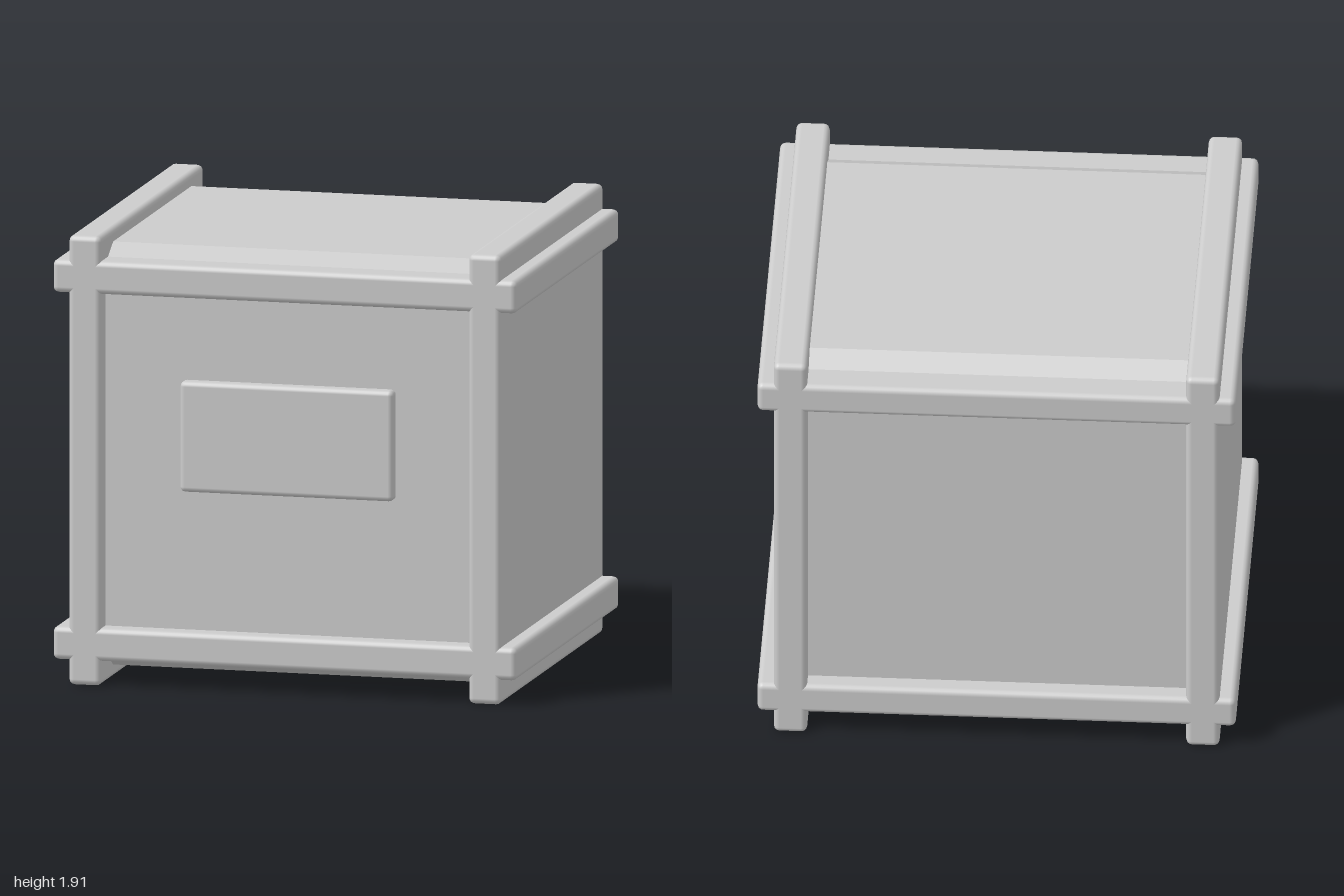
import * as THREE from 'three';
import { RoundedBoxGeometry } from 'three/addons/geometries/RoundedBoxGeometry.js';

const HEIGHT = 1.908, DEPTH = 1.72, BEAM = 0.14, BEVEL = 0.025;

export function createModel() {
  const group = new THREE.Group();
  const grey = new THREE.MeshStandardMaterial({ color: 0xcccccc });
  grey.name = 'light grey';

  const add = (name, geometry, x, y, z) => {
    const mesh = new THREE.Mesh(geometry, grey);
    mesh.name = name;
    mesh.position.set(x, y, z);
    group.add(mesh);
    return mesh;
  };
  const block = (name, w, h, d, x, y, z, r = BEVEL) =>
    add(name, new RoundedBoxGeometry(w, h, d, 2, r), x, y, z);

  // Side walls and horizontal slabs, crossing at the four corners
  const mid = HEIGHT / 2;
  for (const s of [1, -1]) {
    block(s > 0 ? 'leftWall' : 'rightWall', BEAM, HEIGHT, DEPTH, s * 0.862, mid, 0);
    block(s > 0 ? 'topSlab' : 'bottomSlab', 2, BEAM, DEPTH, 0, mid + s * 0.779, 0);
  }

  // Inner body with sloping edges, recessed behind the frame
  const h = 0.898, hs = 0.823, d = 0.78, ds = 0.65;
  const profile = new THREE.Shape([
    [ds, h], [-ds, h], [-d, hs], [-d, -hs], [-ds, -h], [ds, -h], [d, -hs], [d, hs],
  ].map(([z, y]) => new THREE.Vector2(z, y)));
  const body = new THREE.ExtrudeGeometry(profile, { depth: 1.66, bevelEnabled: false });
  body.translate(0, 0, -0.83).rotateY(Math.PI / 2);
  add('innerBody', body, 0, mid, 0);

  // Raised plate on the front
  block('frontPlate', 0.92, 0.47, 0.1, 0, 1.07, 0.78, 0.022);

  return group;
}
